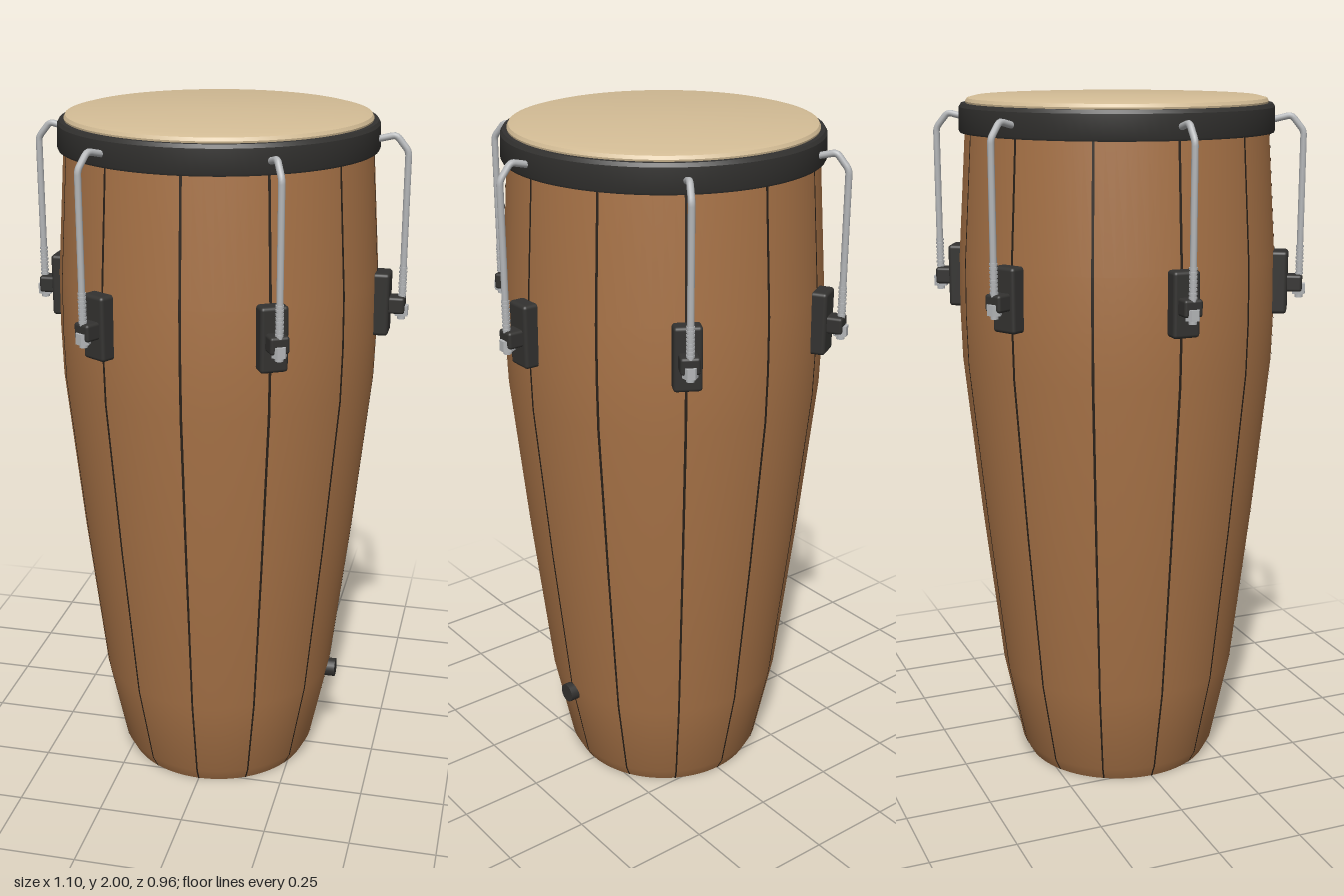
import * as THREE from 'three';
import { toCreasedNormals } from 'three/addons/utils/BufferGeometryUtils.js';
import { RoundedBoxGeometry } from 'three/addons/geometries/RoundedBoxGeometry.js';

const material = (color) => new THREE.MeshStandardMaterial({ color });
const SEGMENTS = 96;

function addMesh(parent, name, geometry, mat, x = 0, y = 0, z = 0) {
  const mesh = new THREE.Mesh(geometry, mat);
  mesh.name = name;
  mesh.position.set(x, y, z);
  parent.add(mesh);
  return mesh;
}

function lathe(points, phiStart = 0, phiLength = Math.PI * 2, segments = SEGMENTS) {
  const profile = points.map(([r, y]) => new THREE.Vector2(r, y));
  return toCreasedNormals(new THREE.LatheGeometry(profile, segments, phiStart, phiLength), 0.5);
}

export function createModel() {
  const drum = new THREE.Group();
  drum.name = 'handDrum';
  const wood = material(0xa87347);
  const skin = material(0xd4bd96);
  const black = material(0x333230);
  const seamDark = material(0x2a2119);
  const metal = material(0xb4b6b8);

  // Tapered stave shell, open at the bottom
  const outer = [
    [0.278, 0], [0.299, 0.04], [0.353, 0.3], [0.408, 0.78],
    [0.455, 1.25], [0.459, 1.4], [0.457, 1.55], [0.432, 1.92],
  ];
  const inner = outer.slice(1).map(([r, y]) => [r - 0.035, y]).reverse();
  addMesh(drum, 'shell', lathe([...inner, [0.25, 0], ...outer]), wood);

  // Dark seams between the twelve staves
  for (let i = 0; i < 12; i++) {
    const width = 0.016;
    const strip = outer.map(([r, y]) => [r + 0.0015, y]);
    addMesh(drum, 'staveSeam', lathe(strip, (i * Math.PI) / 6 - width / 2, width, 2), seamDark);
  }

  // Hoop and the skin stretched over the top
  addMesh(drum, 'hoop', lathe([
    [0.422, 1.9], [0.447, 1.9], [0.45, 1.906], [0.448, 1.97],
    [0.442, 1.98], [0.426, 1.98], [0.422, 1.9],
  ]), black);
  addMesh(drum, 'drumhead', lathe([
    [0, 1.965], [0.426, 1.965], [0.43, 1.985], [0.425, 1.994], [0.402, 2], [0, 2],
  ]), skin);

  // Tension hook: reaches out from the hoop, bends and runs down to the lug
  const corners = [[0.442, 1.935], [0.495, 1.948], [0.53, 1.905], [0.53, 1.45]]
    .map(([x, y]) => new THREE.Vector3(x, y, 0));
  const path = new THREE.CurvePath();
  let from = corners[0];
  for (let i = 1; i < corners.length - 1; i++) {
    const before = corners[i].clone().lerp(corners[i - 1], 0.012 / corners[i].distanceTo(corners[i - 1]));
    const after = corners[i].clone().lerp(corners[i + 1], 0.012 / corners[i].distanceTo(corners[i + 1]));
    path.add(new THREE.LineCurve3(from, before));
    path.add(new THREE.QuadraticBezierCurve3(before, corners[i], after));
    from = after;
  }
  path.add(new THREE.LineCurve3(from, corners[3]));
  const hookGeometry = new THREE.TubeGeometry(path, 90, 0.0095, 10);
  const plateGeometry = new RoundedBoxGeometry(0.05, 0.18, 0.078, 3, 0.01);
  const armGeometry = new RoundedBoxGeometry(0.055, 0.048, 0.054, 2, 0.008);
  const threadGeometry = new THREE.CylinderGeometry(0.0115, 0.0115, 0.006, 10);
  const nutGeometry = new THREE.CylinderGeometry(0.021, 0.021, 0.03, 6).toNonIndexed();
  nutGeometry.computeVertexNormals();

  for (let i = 0; i < 6; i++) {
    const lug = new THREE.Group();
    lug.name = 'tensionLug';
    lug.rotation.y = (i * Math.PI) / 3;
    drum.add(lug);
    addMesh(lug, 'lugPlate', plateGeometry, black, 0.472, 1.478);
    addMesh(lug, 'lugArm', armGeometry, black, 0.512, 1.475);
    addMesh(lug, 'tensionHook', hookGeometry, metal);
    addMesh(lug, 'hookTip', new THREE.SphereGeometry(0.0095, 10, 8), metal, 0.442, 1.935);
    for (let t = 0; t < 8; t++) addMesh(lug, 'rodThread', threadGeometry, metal, 0.53, 1.503 + t * 0.011);
    addMesh(lug, 'nut', nutGeometry, metal, 0.53, 1.458);
    addMesh(lug, 'nutEnd', new THREE.CylinderGeometry(0.0115, 0.0115, 0.012, 12), metal, 0.53, 1.439);
  }

  // Small plug low on the left side
  const plug = addMesh(drum, 'sidePlug', new THREE.CylinderGeometry(0.028, 0.028, 0.045, 20), black, 0.353, 0.283);
  plug.rotation.z = -Math.PI / 2;

  return drum;
}
